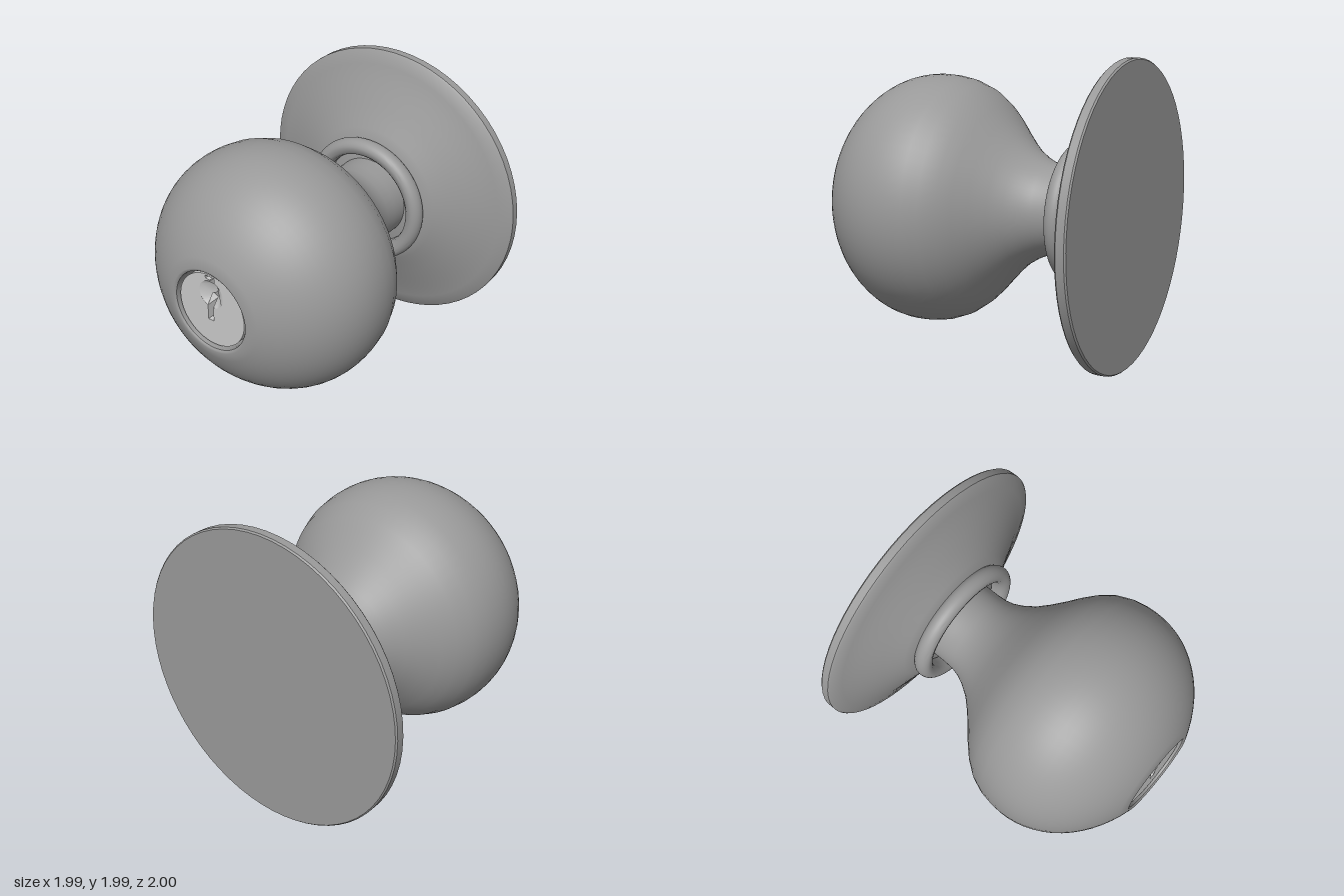
import * as THREE from 'three';
import { toCreasedNormals } from 'three/addons/utils/BufferGeometryUtils.js';

const CENTER_Y = 0.995;
const FACE_Z = 0.975; // front of the lock cylinder
const BORE = { y: 0.115, r: 0.095 }; // round dish around the keyway

export function createModel() {
  const group = new THREE.Group();
  const metal = new THREE.MeshStandardMaterial({ color: 0x999999, side: THREE.DoubleSide });
  metal.name = 'satin grey metal';
  const bright = new THREE.MeshStandardMaterial({ color: 0xc8c8c8, side: THREE.DoubleSide });
  bright.name = 'bright lock metal';

  const add = (name, geometry, material) => {
    const mesh = new THREE.Mesh(geometry, material);
    mesh.name = name;
    mesh.position.y = CENTER_Y;
    group.add(mesh);
  };
  // Turned part about the z axis, from [radius, z] pairs running back to front
  const turned = (name, profile, material = metal) => {
    const points = profile.map(([r, z]) => new THREE.Vector2(r, z));
    const geometry = new THREE.LatheGeometry(points, 64).rotateX(Math.PI / 2);
    add(name, toCreasedNormals(geometry, 0.6), material);
  };

  // Wall rosette with a concave flare
  turned('rosette', [
    [0, -1], [0.985, -1], [0.994, -0.99], [0.994, -0.938], [0.985, -0.928],
    [0.9, -0.902], [0.81, -0.869], [0.72, -0.83], [0.64, -0.795],
    [0.56, -0.758], [0.5, -0.728], [0.44, -0.7], [0, -0.68],
  ]);

  // Rounded collar with a recess around the neck
  const collar = [[0.42, -0.72]];
  for (let i = 0; i <= 12; i++) {
    const a = -0.9 + (i / 12) * (Math.PI / 2 + 0.9);
    collar.push([0.4 + 0.055 * Math.cos(a), -0.65 + 0.06 * Math.sin(a)]);
  }
  collar.push([0.37, -0.597], [0.35, -0.615], [0.34, -0.65], [0.34, -0.69]);
  turned('collar', collar);

  // Neck swelling into the ball of the knob, then a rolled lip and bore
  const knob = [
    [0.285, -0.7], [0.285, -0.58], [0.29, -0.5], [0.305, -0.44], [0.335, -0.375],
    [0.39, -0.29], [0.46, -0.215], [0.55, -0.13], [0.63, -0.06], [0.7, 0.01],
    [0.765, 0.1], [0.805, 0.2], [0.822, 0.3],
  ];
  for (let i = 0; i <= 14; i++) {
    const a = (i / 14) * 1.205;
    knob.push([0.825 * Math.cos(a), 0.37 + 0.675 * Math.sin(a)]);
  }
  knob.push([0.283, 0.998], [0.275, 0.99], [0.272, 0.97], [0.272, 0.86], [0, 0.86]);
  turned('knob', knob);

  // Arcs of the dish on either side of the keyway
  const arc = (from, to) => {
    const points = [];
    for (let i = 0; i <= 20; i++) {
      const a = from + ((to - from) * i) / 20;
      points.push(new THREE.Vector2(BORE.r * Math.cos(a), BORE.y + BORE.r * Math.sin(a)));
    }
    return points;
  };
  const rightArc = arc(-1.444, 1.271);
  const leftArc = arc(1.623, Math.PI + 1.249);
  const pts = (list) => list.map(([x, y]) => new THREE.Vector2(x, y));

  // Lock cylinder with the dish and keyway cut through
  const face = new THREE.Shape().absarc(0, 0, 0.255, 0, Math.PI * 2, false);
  face.holes.push(new THREE.Path([
    ...pts([[-0.03, -0.08], [0.012, -0.08]]),
    ...rightArc,
    ...pts([[0.028, 0.242], [-0.04, 0.242], [-0.04, 0.22], [-0.005, 0.22]]),
    ...leftArc,
  ]));
  const plug = new THREE.ExtrudeGeometry(face, { depth: 0.11, bevelEnabled: false, curveSegments: 48 });
  plug.translate(0, 0, FACE_Z - 0.11);
  add('lockCylinder', toCreasedNormals(plug, 0.6), bright);

  // Dished halves bordering the crooked keyway
  const dishHalf = (name, outline) => {
    const geometry = new THREE.ShapeGeometry(new THREE.Shape(outline));
    const p = geometry.attributes.position;
    for (let i = 0; i < p.count; i++) {
      const d = Math.hypot(p.getX(i), p.getY(i) - BORE.y) / BORE.r;
      p.setZ(i, FACE_Z - 0.06 * (1 - Math.min(1, d * d)));
    }
    geometry.computeVertexNormals();
    add(name, geometry, bright);
  };
  dishHalf('dishLeft', [...rightArc, ...pts([[0.045, 0.19], [0.048, 0.115], [0.012, 0.08]])]);
  dishHalf('dishRight', [...leftArc, ...pts([[-0.03, 0.085], [0, 0.1], [0.012, 0.14], [-0.005, 0.175]])]);

  // Floor of the keyway
  add('keywayFloor', new THREE.CircleGeometry(0.25, 32).translate(0, 0, 0.875), metal);

  return group;
}
